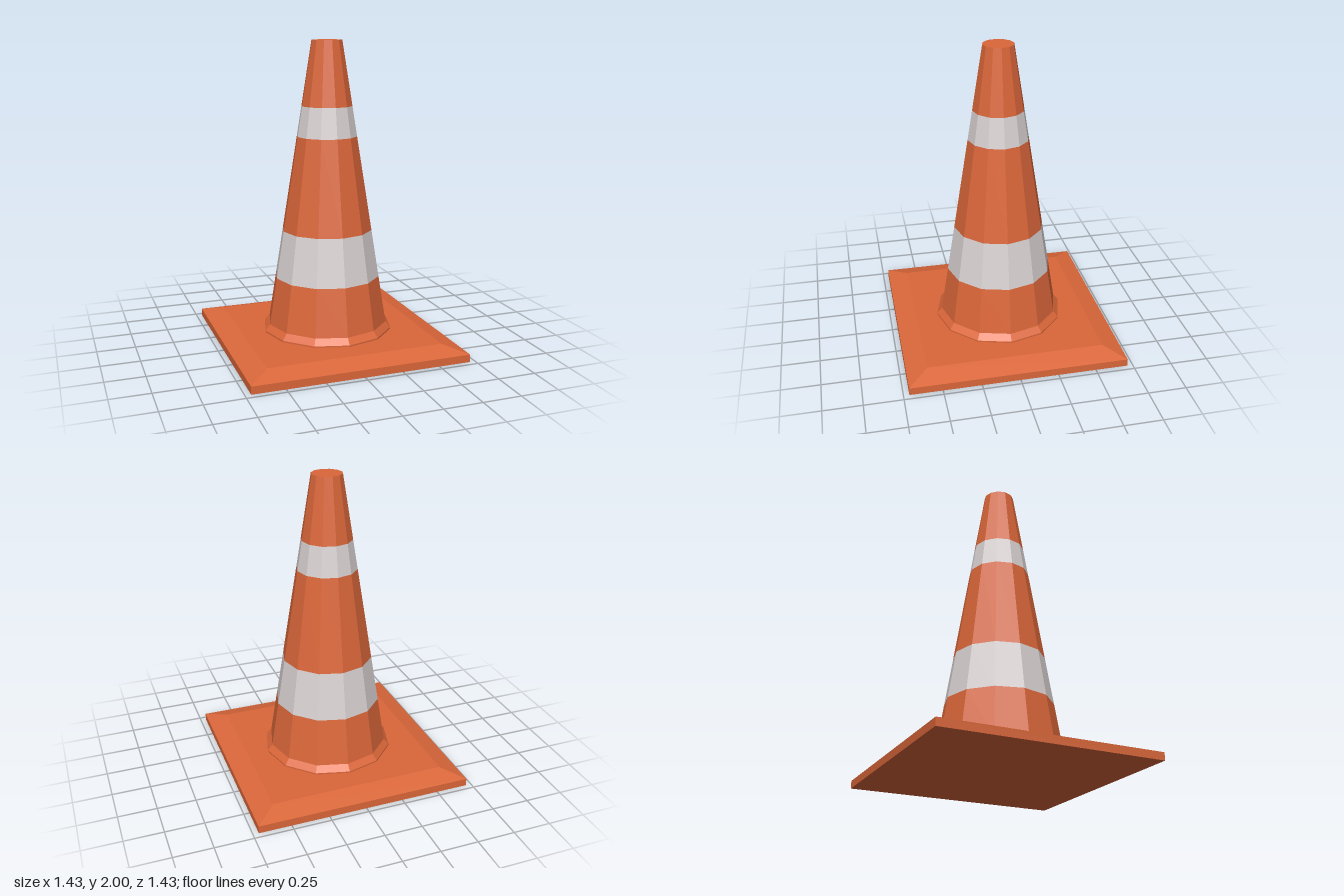
import * as THREE from 'three';

const orange = new THREE.MeshStandardMaterial({ color: 0xdb673a });
orange.name = 'orange plastic';
const white = new THREE.MeshStandardMaterial({ color: 0xdad2d2 });
white.name = 'reflective white';

// Faceted solid of revolution from [radius, y] points listed bottom to top
function facetedLathe(name, profile, sides, start, material) {
  const points = profile.map(([r, y]) => new THREE.Vector2(r, y));
  const geometry = new THREE.LatheGeometry(points, sides, start).toNonIndexed();
  geometry.computeVertexNormals();
  const mesh = new THREE.Mesh(geometry, material);
  mesh.name = name;
  return mesh;
}

// Radius of the tapering cone wall at height y
const wallRadius = (y) => THREE.MathUtils.mapLinear(y, 0.14, 2, 0.4, 0.1);

export function createModel() {
  const model = new THREE.Group();
  model.name = 'trafficCone';

  // Square base with a sloped rim
  const corner = Math.SQRT2;
  model.add(facetedLathe('base', [
    [0, 0], [0.713 * corner, 0], [0.713 * corner, 0.05], [0.58 * corner, 0.09], [0, 0.09],
  ], 4, Math.PI / 4, orange));

  // Twelve-sided cone, stacked from coloured sections
  const cone = new THREE.Group();
  cone.name = 'cone';
  cone.position.x = 0.005;
  model.add(cone);

  cone.add(facetedLathe('foot', [
    [0.433, 0.09], [0.433, 0.1], [wallRadius(0.14), 0.14],
  ], 12, 0, orange));

  const sections = [
    ['lowerWall', 0.14, 0.452, orange],
    ['lowerBand', 0.452, 0.766, white],
    ['middleWall', 0.766, 1.384, orange],
    ['upperBand', 1.384, 1.58, white],
    ['upperWall', 1.58, 2, orange],
  ];
  for (const [name, y0, y1, material] of sections) {
    cone.add(facetedLathe(name, [[wallRadius(y0), y0], [wallRadius(y1), y1]], 12, 0, material));
  }

  // Closed flat tip
  cone.add(facetedLathe('tip', [[0.1, 2], [0, 2]], 12, 0, orange));

  return model;
}
